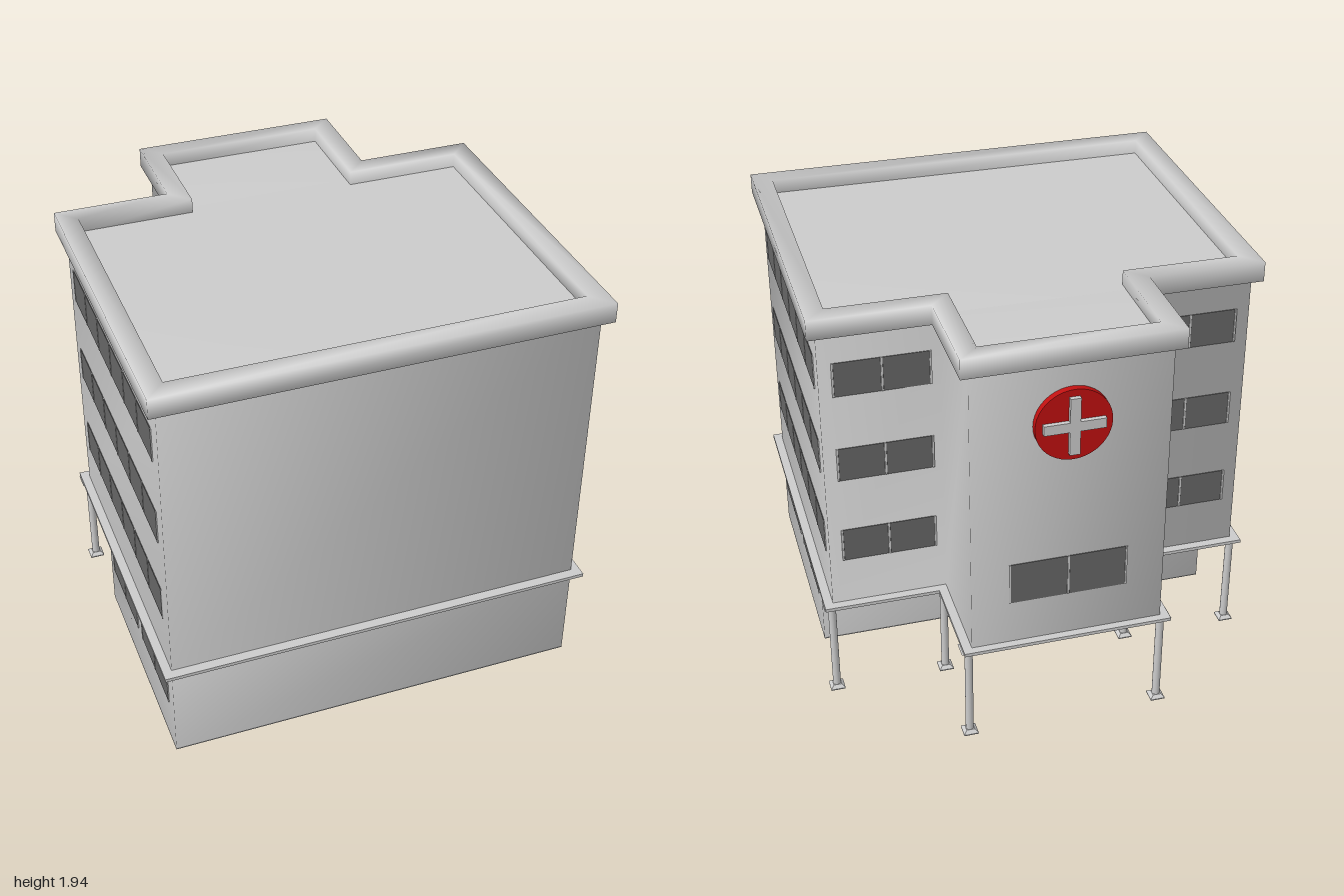
import * as THREE from 'three';
import { mergeVertices } from 'three/addons/utils/BufferGeometryUtils.js';

const grey = new THREE.MeshStandardMaterial({ color: 0xcccccc, side: THREE.DoubleSide });
const glass = new THREE.MeshStandardMaterial({ color: 0x666666 });
const red = new THREE.MeshStandardMaterial({ color: 0xc01010 });

// T-shaped plan: main block plus a narrower wing at the back
const plan = (hx, zf, zb, wx, wz) => [
  [-hx, zf], [hx, zf], [hx, zb], [wx, zb], [wx, wz], [-wx, wz], [-wx, zb], [-hx, zb],
];
const rect = (hx, zf, zb) => [[-hx, zf], [hx, zf], [hx, zb], [-hx, zb]];

// Skin through stacked outlines, each given as [outline, height], smooth round the corners
function loft(rings) {
  const pos = [], index = [], n = rings[0][0].length;
  for (const [outline, y] of rings) for (const [x, z] of outline) pos.push(x, y, z);
  for (let r = 0; r < rings.length - 1; r++) {
    for (let i = 0; i < n; i++) {
      const a = r * n + i, b = r * n + (i + 1) % n;
      index.push(a, b, b + n, a, b + n, a + n);
    }
  }
  const g = new THREE.BufferGeometry();
  g.setAttribute('position', new THREE.Float32BufferAttribute(pos, 3));
  g.setIndex(index);
  g.computeVertexNormals();
  return g;
}

function slab(outline, y, h) {
  const shape = new THREE.Shape(outline.map(([x, z]) => new THREE.Vector2(x, -z)));
  const g = new THREE.ExtrudeGeometry(shape, { depth: h, bevelEnabled: false });
  return g.rotateX(-Math.PI / 2).translate(0, y, 0);
}

// Box with normals shared across its edges
function softBox(w, h, d) {
  const g = new THREE.BoxGeometry(w, h, d);
  g.deleteAttribute('normal');
  g.deleteAttribute('uv');
  const m = mergeVertices(g);
  m.computeVertexNormals();
  return m;
}

function add(parent, name, geometry, material = grey, x = 0, y = 0, z = 0) {
  const m = new THREE.Mesh(geometry, material);
  m.name = name;
  m.position.set(x, y, z);
  parent.add(m);
  return m;
}

// Row of n panes with thin bars between them, facing +z before turning
function windowRow(parent, name, n, paneW, h, x, y, z, turn) {
  const row = new THREE.Group(), step = paneW + 0.01, w = n * step;
  row.name = name;
  row.position.set(x, y, z);
  row.rotation.y = turn;
  for (let i = 0; i < n; i++) {
    add(row, 'pane', new THREE.BoxGeometry(paneW, h, 0.006), glass, (i - (n - 1) / 2) * step, 0, 0);
  }
  for (let i = 0; i <= n; i++) {
    add(row, 'mullion', new THREE.BoxGeometry(0.008, h, 0.01), grey, i * step - w / 2, 0, 0);
  }
  parent.add(row);
}

function column(parent, x, z) {
  const c = new THREE.Group();
  c.name = 'column';
  c.position.set(x, 0, z);
  add(c, 'shaft', new THREE.CylinderGeometry(0.018, 0.018, 0.45, 16), grey, 0, 0.24, 0);
  const flare = (a, b, h, y) =>
    add(c, 'flare', new THREE.CylinderGeometry(a, b, h, 4, 1).rotateY(Math.PI / 4).toNonIndexed(), grey, 0, y, 0)
      .geometry.computeVertexNormals();
  flare(0.055, 0.026, 0.02, 0.46);
  flare(0.026, 0.047, 0.014, 0.012);
  add(c, 'foot', new THREE.BoxGeometry(0.066, 0.005, 0.066), grey, 0, 0.0025, 0);
  parent.add(c);
}

export function createModel() {
  const building = new THREE.Group();
  building.name = 'building';

  // Ground floor, set back behind the columns
  const ground = rect(0.95, 0.95, -0.12);
  add(building, 'groundFloorWalls', loft([[ground, 0], [ground, 0.475]]));
  add(building, 'groundFloorBase', softBox(1.9, 0.004, 1.07), grey, 0, 0.002, 0.415);

  // Upper floors and the slab that carries them
  const walls = plan(0.95, 0.95, -0.48, 0.43, -0.95);
  add(building, 'upperWalls', loft([[walls, 0.48], [walls, 1.87]]));
  const outer = plan(0.99, 0.995, -0.52, 0.47, -0.985);
  add(building, 'floorSlab', slab(outer, 0.47, 0.016));

  // Parapet and roof decks
  const inner = plan(0.9, 0.9, -0.43, 0.38, -0.9);
  add(building, 'parapet', loft([[walls, 1.85], [outer, 1.85], [outer, 1.94], [inner, 1.94], [inner, 1.87]]));
  add(building, 'mainDeck', softBox(1.84, 0.02, 1.4), grey, 0, 1.865, 0.22);
  add(building, 'wingDeck', softBox(0.8, 0.02, 0.44), grey, 0, 1.864, -0.7);

  // Windows on both sides and on the back of the main block
  for (const s of [1, -1]) {
    for (const y of [0.793, 1.212, 1.63]) {
      windowRow(building, 'sideWindows', 6, 0.199, 0.16, s * 0.95, y, 0.237, s * Math.PI / 2);
      windowRow(building, 'backWindows', 2, 0.199, 0.16, s * 0.68, y, -0.48, Math.PI);
    }
    for (const z of [0.66, 0.16]) {
      windowRow(building, 'groundSideWindows', 2, 0.2, 0.165, s * 0.95, 0.307, z, s * Math.PI / 2);
    }
    windowRow(building, 'groundBackWindows', 2, 0.2, 0.165, s * 0.69, 0.307, -0.12, Math.PI);
  }
  windowRow(building, 'wingWindow', 2, 0.25, 0.2, 0, 0.795, -0.95, Math.PI);
  windowRow(building, 'entranceDoors', 2, 0.225, 0.34, 0, 0.22, -0.12, Math.PI);

  // Columns under the overhang
  for (const s of [1, -1]) {
    column(building, s * 0.955, -0.47);
    column(building, s * 0.44, -0.47);
    column(building, s * 0.44, -0.93);
  }

  // Round sign with a raised cross on the wing
  const sign = new THREE.Group();
  sign.name = 'sign';
  sign.position.set(0, 1.567, -0.95);
  add(sign, 'disc', new THREE.CylinderGeometry(0.165, 0.165, 0.03, 40).rotateX(Math.PI / 2), red, 0, 0, -0.015);
  add(sign, 'crossUpright', new THREE.BoxGeometry(0.045, 0.265, 0.02), grey, 0, 0, -0.04);
  for (const s of [1, -1]) {
    add(sign, 'crossArm', new THREE.BoxGeometry(0.11, 0.045, 0.02), grey, s * 0.0775, 0, -0.04);
  }
  building.add(sign);
  return building;
}
